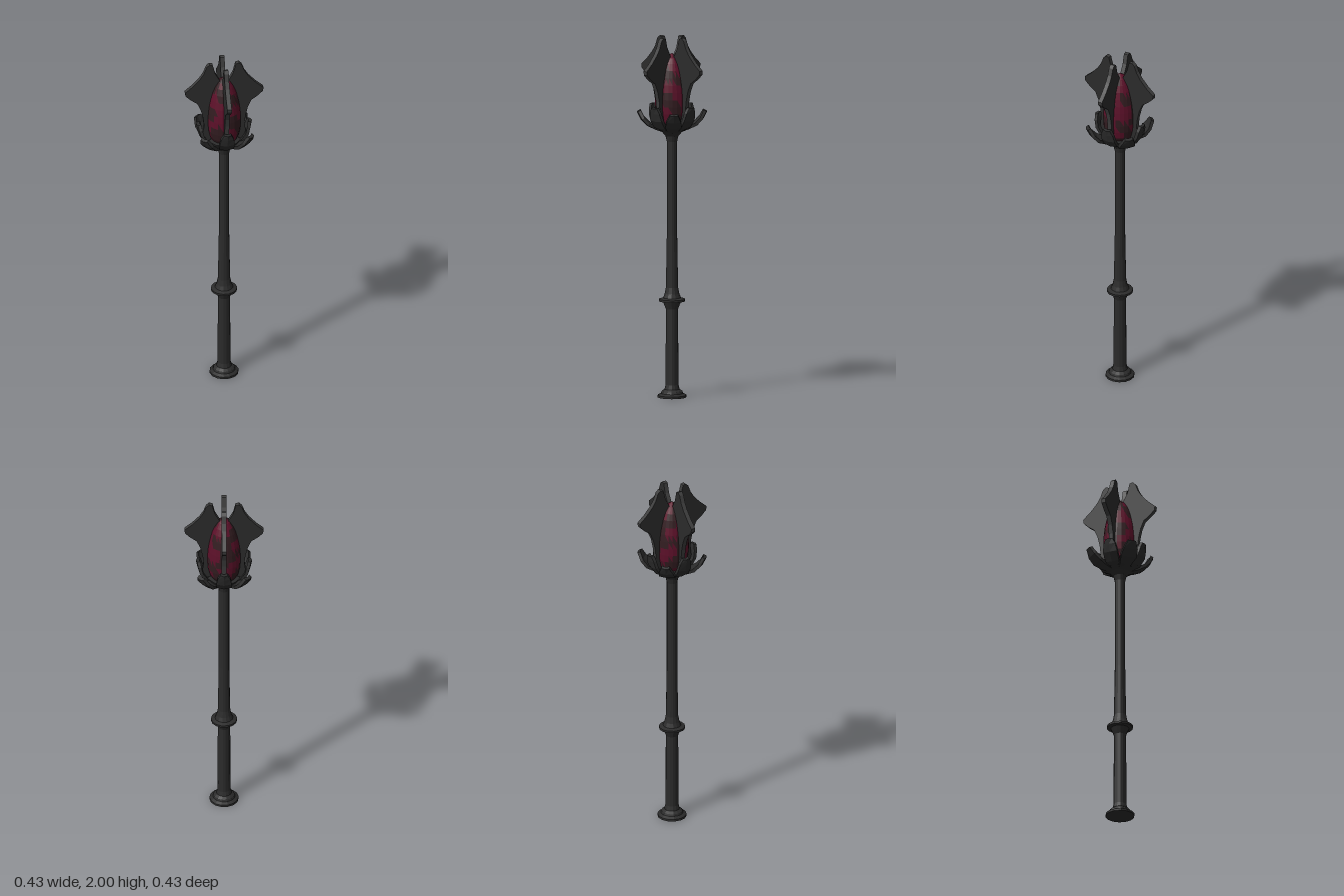
import * as THREE from 'three';

const mat = (name, color) => {
  const m = new THREE.MeshStandardMaterial({ color, flatShading: true });
  m.name = name;
  return m;
};

// Petal along +x from stations [radius, height, half width], slightly cupped across
function petalGeometry(stations, thick, cup) {
  const pos = [], index = [];
  stations.forEach(([r, y, w], i) => {
    const p = stations[Math.max(i - 1, 0)], q = stations[Math.min(i + 1, stations.length - 1)];
    const len = Math.hypot(q[0] - p[0], q[1] - p[1]);
    const nx = -(q[1] - p[1]) / len, ny = (q[0] - p[0]) / len, h = thick / 2;
    const ring = [[-w, h], [0, h - cup], [w, h], [w, -h], [0, -h - cup], [-w, -h]];
    for (const [z, n] of ring) pos.push(r + nx * n, y + ny * n, z);
  });
  const last = (stations.length - 1) * 6;
  for (let i = 0; i < last; i += 6) {
    for (let k = 0; k < 6; k++) {
      const a = i + k, b = i + (k + 1) % 6;
      index.push(a, b, b + 6, a, b + 6, a + 6);
    }
  }
  // end caps, as two quads each side of the centre line
  for (const [a, b, c] of [[0, 1, 4], [0, 4, 5], [1, 2, 3], [1, 3, 4]]) {
    index.push(a, c, b, last + a, last + b, last + c);
  }
  const g = new THREE.BufferGeometry();
  g.setAttribute('position', new THREE.Float32BufferAttribute(pos, 3));
  g.setIndex(index);
  const flat = g.toNonIndexed();
  flat.computeVertexNormals();
  return flat;
}

function latheGeometry(points, sides) {
  const g = new THREE.LatheGeometry(points.map(p => new THREE.Vector2(...p)), sides).toNonIndexed();
  g.computeVertexNormals();
  return g;
}

export function createModel() {
  const model = new THREE.Group();
  model.name = 'flowerStaff';
  const iron = mat('dark iron', 0x2b2b2b);
  const edge = mat('worn iron edge', 0x3d3d3d);
  const crimson = mat('crimson', 0x5c1029);
  const shade = mat('dark maroon', 0x321c20);

  const add = (geometry, material, name, parent = model) => {
    const mesh = new THREE.Mesh(geometry, material);
    mesh.name = name;
    parent.add(mesh);
    return mesh;
  };
  // Four copies around the axis, starting at an angle in degrees from +x towards +z
  const ringOfFour = (geometry, material, name, degrees) => {
    for (let i = 0; i < 4; i++) {
      add(geometry, material, name + (i + 1)).rotation.y = -THREE.MathUtils.degToRad(degrees + i * 90);
    }
  };

  // Shaft with foot, grip collar and cup
  add(latheGeometry([
    [0, 0], [0.08, 0], [0.08, 0.012], [0.062, 0.022], [0.058, 0.033], [0.042, 0.045], [0.036, 0.07],
    [0.034, 0.49], [0.044, 0.515], [0.05, 0.53], [0.072, 0.533], [0.072, 0.545], [0.05, 0.552],
    [0.041, 0.575], [0.034, 0.61], [0.029, 0.9], [0.029, 1.42], [0.036, 1.45], [0.055, 1.472],
    [0.08, 1.488], [0.09, 1.515], [0, 1.53],
  ], 14), iron, 'shaft');

  // Bud: mottled by assigning faces to one of two colours
  const bud = latheGeometry([
    [0, 1.49], [0.06, 1.5], [0.08, 1.54], [0.089, 1.58], [0.092, 1.62], [0.092, 1.66], [0.089, 1.7],
    [0.084, 1.74], [0.076, 1.78], [0.066, 1.82], [0.052, 1.855], [0.035, 1.885], [0, 1.91],
  ], 24);
  const p = bud.attributes.position;
  for (let i = 0; i < p.count; i += 3) {
    const x = (p.getX(i) + p.getX(i + 1) + p.getX(i + 2)) / 3;
    const y = (p.getY(i) + p.getY(i + 1) + p.getY(i + 2)) / 3;
    const z = (p.getZ(i) + p.getZ(i + 1) + p.getZ(i + 2)) / 3;
    const n = Math.sin(x * 55 + y * 17) + Math.sin(z * 60 - y * 31) + Math.sin(y * 48 + x * 23);
    bud.addGroup(i, 3, n > -0.1 ? 0 : 1);
  }
  add(bud, [crimson, shade], 'bud');

  // Upright blades clasping the bud
  const outline = [
    [0.075, 1.5], [0.105, 1.52], [0.118, 1.56], [0.112, 1.61], [0.118, 1.66], [0.13, 1.71], [0.15, 1.755],
    [0.185, 1.78], [0.214, 1.808], [0.217, 1.83], [0.175, 1.866], [0.135, 1.91], [0.113, 1.945],
    [0.098, 1.985], [0.082, 2], [0.064, 1.995], [0.05, 1.94], [0.026, 1.895], [0.018, 1.85],
    [0.05, 1.8], [0.07, 1.72], [0.075, 1.62],
  ].map(q => new THREE.Vector2(...q));
  const blade = new THREE.ExtrudeGeometry(new THREE.Shape(outline), { depth: 0.025, bevelEnabled: false });
  blade.translate(0, 0, -0.0125);
  ringOfFour(blade, [iron, edge], 'blade', 15);

  // Small sepals wrapping the blade roots
  ringOfFour(petalGeometry([
    [0.05, 1.49, 0.025], [0.095, 1.51, 0.04], [0.122, 1.55, 0.042], [0.132, 1.59, 0.035], [0.138, 1.62, 0.02],
  ], 0.018, 0.008), iron, 'smallSepal', 15);

  // Large sepals spreading outwards
  ringOfFour(petalGeometry([
    [0.04, 1.482, 0.025], [0.09, 1.5, 0.034], [0.13, 1.52, 0.046], [0.16, 1.552, 0.04], [0.18, 1.592, 0.022],
  ], 0.018, 0.006), iron, 'largeSepal', 59);

  return model;
}
